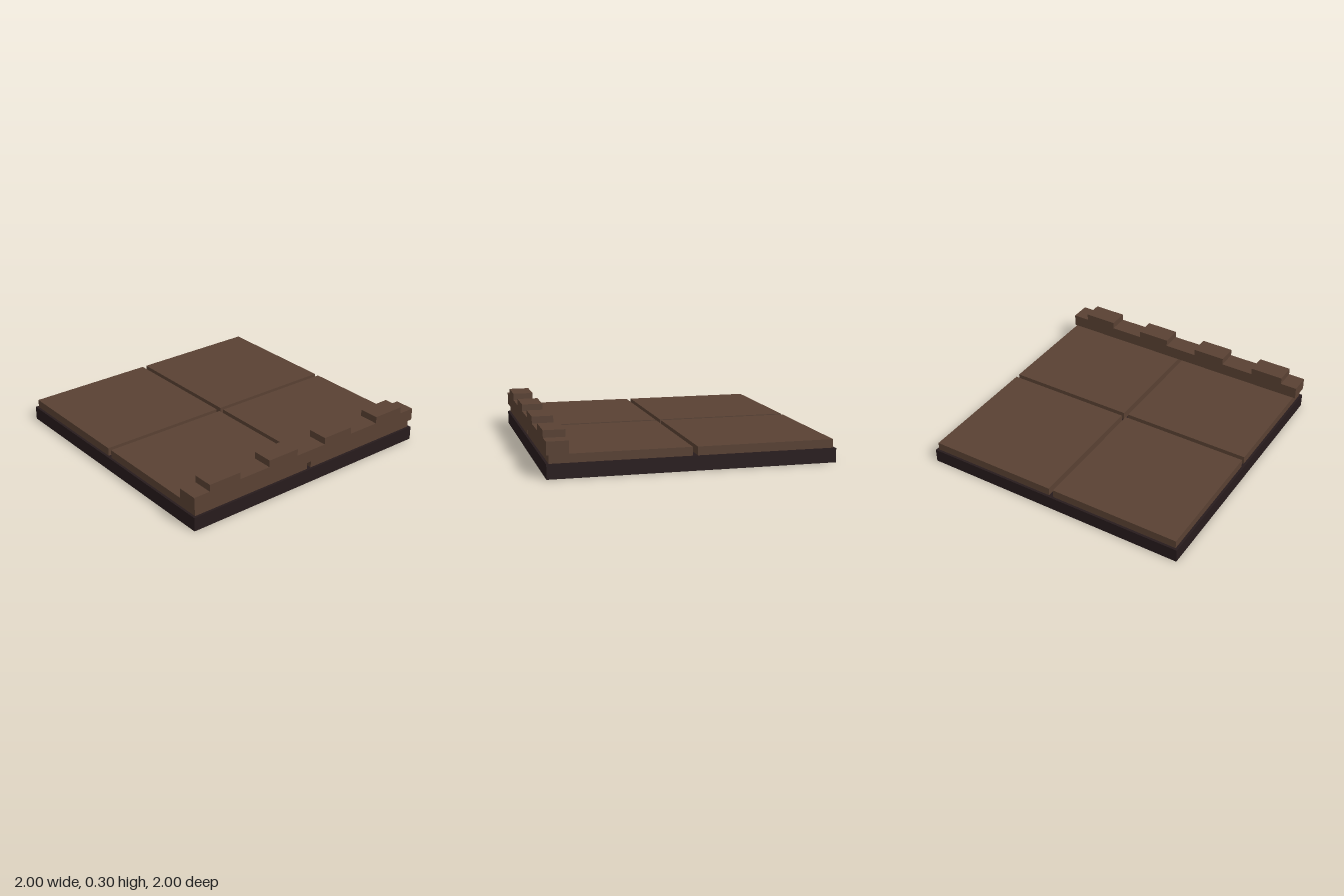
import * as THREE from 'three';

export function createModel() {
  const model = new THREE.Group();
  const stone = new THREE.MeshStandardMaterial({ color: 0x594133 });
  stone.name = 'brownStone';
  const dark = new THREE.MeshStandardMaterial({ color: 0x271b1c, side: THREE.DoubleSide });
  dark.name = 'darkStone';

  // Box given by its lower and upper corners
  function block(name, [x0, y0, z0], [x1, y1, z1], material, parent = model) {
    const geometry = new THREE.BoxGeometry(x1 - x0, y1 - y0, z1 - z0);
    const mesh = new THREE.Mesh(geometry, material);
    mesh.position.set((x0 + x1) / 2, (y0 + y1) / 2, (z0 + z1) / 2);
    mesh.name = name;
    parent.add(mesh);
    return mesh;
  }

  // Base: a thin shell, open underneath
  const base = block('base', [-1, 0, -1], [1, 0.1, 1], dark);
  const index = Array.from(base.geometry.index.array);
  index.splice(18, 6); // drop the bottom face
  base.geometry.setIndex(index);
  base.geometry.clearGroups();

  // Four floor slabs resting on the base
  const floor = new THREE.Group();
  floor.name = 'floorSlabs';
  model.add(floor);
  const half = 0.4825;
  for (const x of [-0.5, 0.5]) {
    for (const z of [-0.5, 0.5]) {
      block('floorSlab', [x - half, 0.1, z - half], [x + half, 0.16, z + half], stone, floor);
    }
  }

  // Low wall along the front edge with four merlons
  const parapet = new THREE.Group();
  parapet.name = 'parapet';
  model.add(parapet);
  block('parapetWall', [-1, 0.16, 0.85], [1, 0.25, 1], stone, parapet);
  for (const x of [-0.75, -0.25, 0.25, 0.75]) {
    block('merlon', [x - 0.125, 0.25, 0.85], [x + 0.125, 0.3, 1], stone, parapet);
  }

  return model;
}
